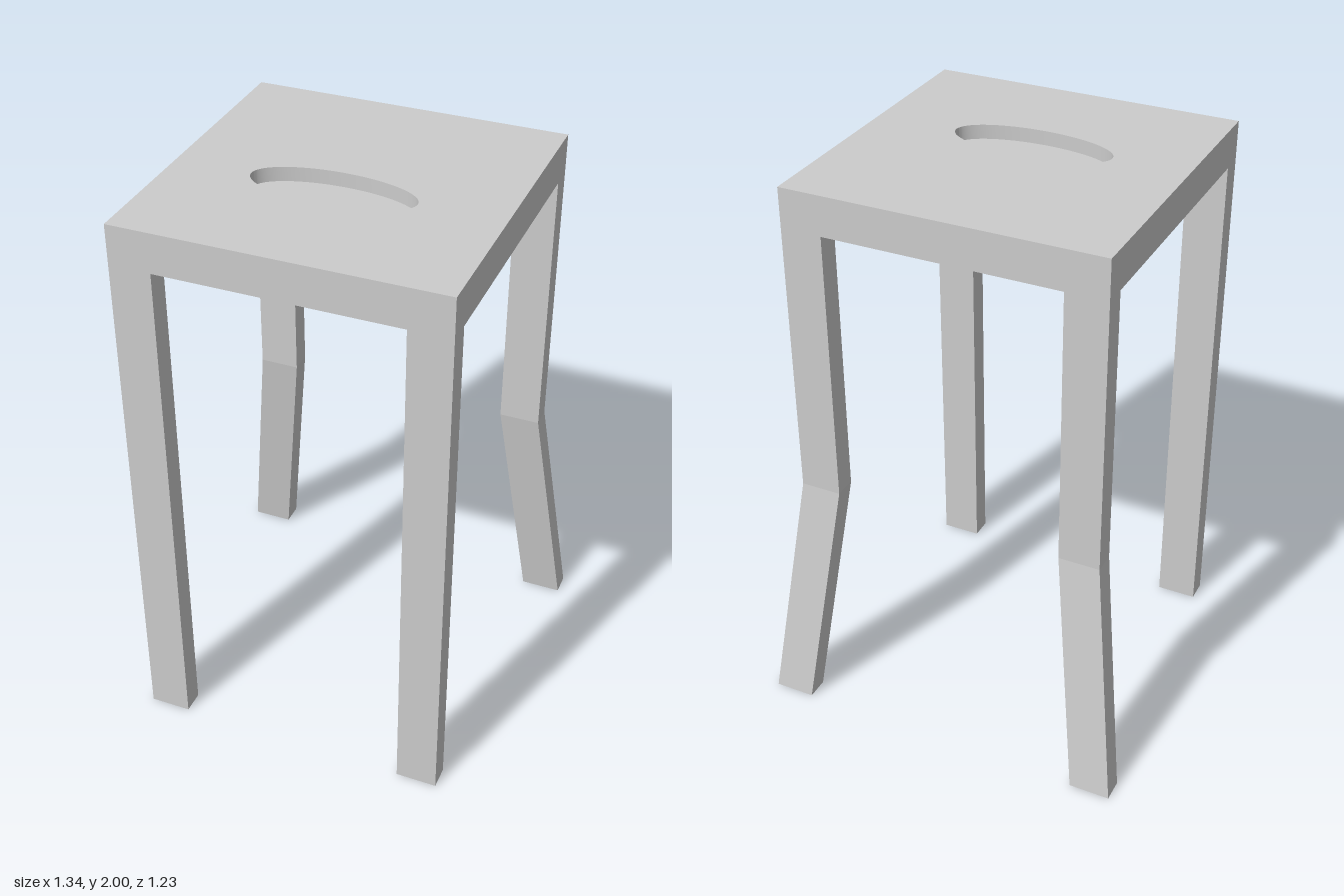
import * as THREE from 'three';
import { toCreasedNormals } from 'three/addons/utils/BufferGeometryUtils.js';

const TOP = 2, UNDER = 1.86, KNEE = 0.88, RECESS = 0.05;
const X0 = -0.565, X1 = 0.55, Z0 = -0.5, Z1 = 0.615; // seat outline
const LEG_W = 0.145, LEG_D = 0.08;
const SPLAY_X = 0.11, SPLAY_Z = 0.115; // outward shift of the back feet

export function createModel() {
  const group = new THREE.Group();
  const material = new THREE.MeshStandardMaterial({ color: 0xcccccc });
  const add = (name, geometry) => {
    const mesh = new THREE.Mesh(geometry, material);
    mesh.name = name;
    group.add(mesh);
    return mesh;
  };

  // Seat top layer with an oval opening
  const outline = new THREE.Shape([
    new THREE.Vector2(X0, Z0), new THREE.Vector2(X1, Z0),
    new THREE.Vector2(X1, Z1), new THREE.Vector2(X0, Z1),
  ]);
  const oval = new THREE.Path();
  oval.absellipse(-0.02, 0.145, 0.28, 0.11, 0, Math.PI * 2, true);
  outline.holes.push(oval);
  const topLayer = new THREE.ExtrudeGeometry(outline, { depth: RECESS, bevelEnabled: false, curveSegments: 64 });
  topLayer.rotateX(Math.PI / 2);
  topLayer.translate(0, TOP, 0);
  add('seatTop', toCreasedNormals(topLayer, 0.6));

  // Seat base, which also closes the oval recess
  const baseHeight = TOP - RECESS - UNDER;
  add('seatBase', new THREE.BoxGeometry(X1 - X0, baseHeight, Z1 - Z0))
    .position.set((X0 + X1) / 2, UNDER + baseHeight / 2, (Z0 + Z1) / 2);

  for (const side of [-1, 1]) {
    const label = side > 0 ? 'Left' : 'Right';
    const x = side > 0 ? X1 - LEG_W / 2 : X0 + LEG_W / 2;

    // Straight front leg
    add('front' + label + 'Leg', new THREE.BoxGeometry(LEG_W, UNDER, LEG_D))
      .position.set(x, UNDER / 2, Z1 - LEG_D / 2);

    // Back leg, bent outward below the knee
    const bent = new THREE.BoxGeometry(LEG_W, UNDER, LEG_D, 1, 2, 1).toNonIndexed();
    bent.translate(x, UNDER / 2, Z0 + LEG_D / 2);
    const p = bent.attributes.position;
    for (let i = 0; i < p.count; i++) {
      const y = p.getY(i);
      if (y < 0.01) {
        p.setX(i, p.getX(i) + side * SPLAY_X);
        p.setZ(i, p.getZ(i) - SPLAY_Z);
      } else if (y < UNDER - 0.01) {
        p.setY(i, KNEE);
      }
    }
    bent.computeVertexNormals();
    add('back' + label + 'Leg', bent);
  }
  return group;
}
